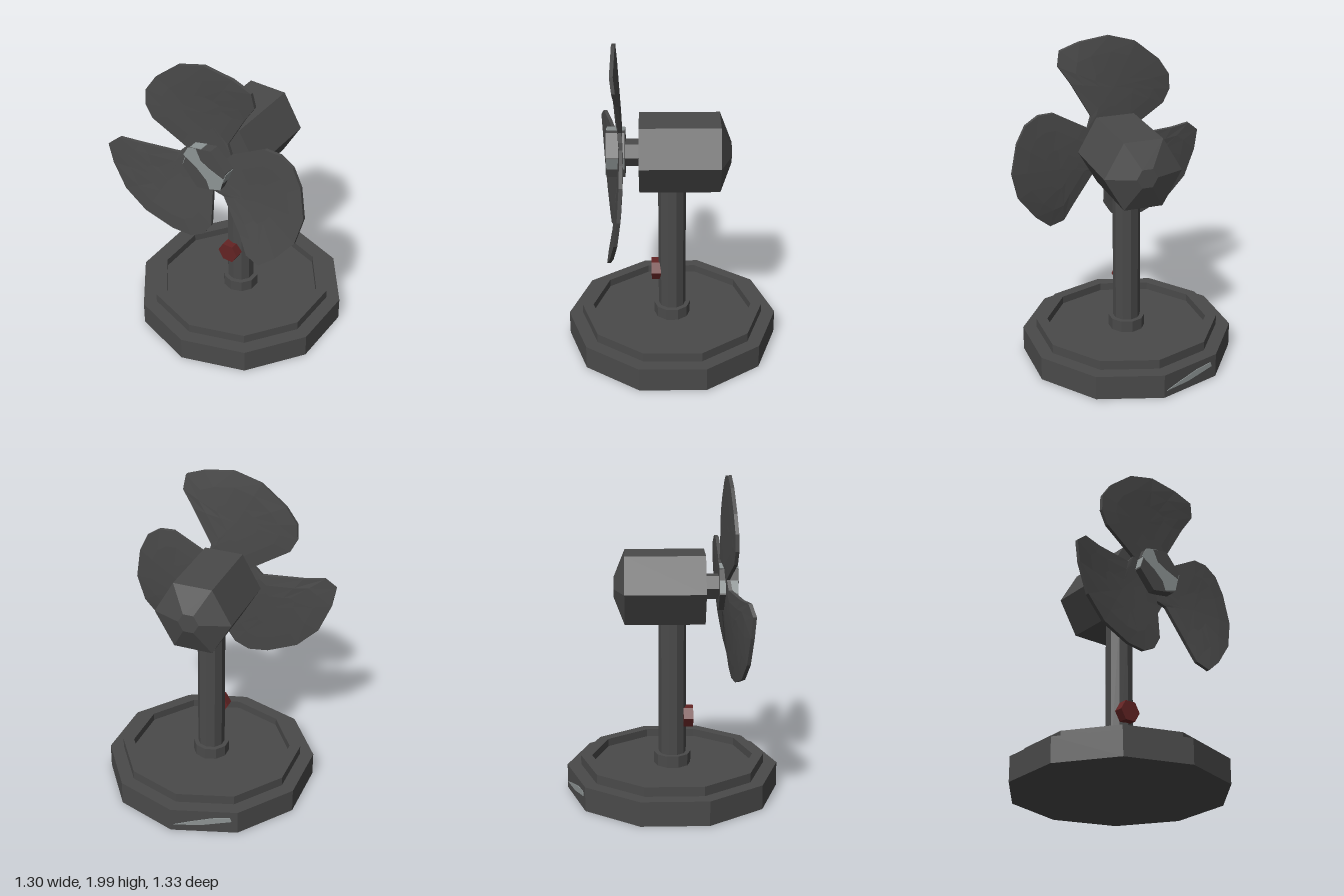
import * as THREE from 'three';

const mat = (name, color) => {
  const m = new THREE.MeshStandardMaterial({ color });
  m.name = name;
  return m;
};

export function createModel() {
  const dark = mat('charcoal', 0x4a4a4a);
  const red = mat('dark red', 0x642424);
  const light = mat('worn grey', 0x8e9595);
  const model = new THREE.Group();
  model.name = 'deskFan';
  const rad = THREE.MathUtils.degToRad;

  // faceted mesh helper
  const add = (name, geometry, material, parent = model) => {
    const g = geometry.index ? geometry.toNonIndexed() : geometry;
    g.computeVertexNormals();
    const mesh = new THREE.Mesh(g, material);
    mesh.name = name;
    parent.add(mesh);
    return mesh;
  };

  // six-sided prism along z; turn is the angle of its first corner
  const hexPrism = (rFront, rBack, z0, z1, x, y, turn = 0) =>
    new THREE.CylinderGeometry(rFront, rBack, z1 - z0, 6)
      .rotateX(Math.PI / 2)
      .rotateZ(rad(turn - 30))
      .translate(x, y, (z0 + z1) / 2);

  const cx = 0.01;

  // ten-sided stepped base with a recessed tray
  const profile = [[0, 0], [0.667, 0], [0.667, 0.155], [0.58, 0.155], [0.58, 0.215],
    [0.51, 0.215], [0.51, 0.165], [0, 0.165]].map(p => new THREE.Vector2(...p));
  add('base', new THREE.LatheGeometry(profile, 10).translate(cx, 0, 0), dark);

  // worn patch on the rear of the base
  const patchShape = new THREE.Shape([[-0.19, -0.03], [-0.02, -0.025], [0.17, 0.01],
    [0.16, 0.04], [0.05, 0.03], [-0.08, 0]].map(p => new THREE.Vector2(...p)));
  const patch = add('basePatch',
    new THREE.ExtrudeGeometry(patchShape, { depth: 0.004, bevelEnabled: false }), light);
  const a = rad(198), apothem = 0.667 * Math.cos(Math.PI / 10);
  patch.position.set(cx + Math.sin(a) * apothem, 0.075, Math.cos(a) * apothem);
  patch.rotation.y = a;

  // stand
  add('collar', new THREE.CylinderGeometry(0.115, 0.115, 0.085, 10).translate(cx, 0.1975, 0), dark);
  add('pole', new THREE.CylinderGeometry(0.086, 0.086, 0.96, 10).translate(cx, 0.66, 0), dark);
  add('knob', hexPrism(0.07, 0.07, 0.07, 0.13, -0.005, 0.48), red);

  // motor housing with tapered rear, and shaft
  add('motor', hexPrism(0.245, 0.245, -0.292, 0.2, cx, 1.31), dark);
  add('motorRear', hexPrism(0.245, 0.066, -0.36, -0.292, cx, 1.31), dark);
  add('shaft', hexPrism(0.083, 0.083, 0.2, 0.3, cx, 1.31), dark);

  // hub
  const hub = new THREE.Group();
  hub.name = 'hub';
  hub.position.set(0.018, 1.317, 0);
  model.add(hub);
  add('hubBody', hexPrism(0.157, 0.157, 0.283, 0.397, 0, 0, 11), dark, hub);

  // worn band across the hub face, with patches on its sides
  const band = new THREE.Shape([[-0.143, 0.053], [-0.11, 0.115], [-0.055, 0.128], [-0.02, 0.053],
    [0.042, 0.021], [0.14, -0.016], [0.118, -0.1], [0.04, -0.125], [0.02, -0.07], [-0.045, -0.01]]
    .map(p => new THREE.Vector2(...p)));
  add('hubBand', new THREE.ExtrudeGeometry(band, { depth: 0.003, bevelEnabled: false })
    .translate(0, 0, 0.397), light, hub);
  for (const deg of [101, 161, -19]) {
    add('hubPatch', new THREE.BoxGeometry(0.004, 0.08, 0.11)
      .translate(0.138, 0.03, 0.34).rotateZ(rad(deg)), light, hub);
  }

  // blades: concentric rings of one outline, front and back, joined by a rim
  const outline = [[0.05, 0.02], [0.14, 0.11], [0.118, 0.18], [0.24, 0.4], [0.312, 0.51],
    [0.295, 0.605], [0.17, 0.65], [-0.02, 0.674], [-0.196, 0.622], [-0.354, 0.492],
    [-0.425, 0.386], [-0.43, 0.285], [-0.385, 0.2], [-0.19, 0.085], [-0.05, 0]];
  const centre = [-0.04, 0.35], rings = [1, 0.7, 0.35, 0], n = outline.length;
  const surfaceZ = (x, y) => {
    const r2 = (x * x + y * y) / 0.43;
    const lead = (x * 0.87 - y * 0.5 + 0.42) / 0.42;
    return 0.318 + 0.042 * r2 + 0.032 * r2 * Math.min(1, lead);
  };
  const verts = [], index = [];
  for (const side of [1, -1]) {
    for (const s of rings) {
      for (const [px, py] of outline) {
        const x = centre[0] + (px - centre[0]) * s;
        const y = centre[1] + (py - centre[1]) * s;
        verts.push(x, y, surfaceZ(x, y) + side * (s === 1 ? 0.011 : 0.015));
      }
    }
  }
  const quad = (p, q, r, s) => index.push(p, q, r, p, r, s);
  const back = rings.length * n;
  for (let i = 0; i < n; i++) {
    const j = (i + 1) % n;
    for (let k = 0; k < rings.length - 1; k++) {
      const o = k * n, c = o + n;
      quad(o + i, o + j, c + j, c + i);
      quad(back + o + j, back + o + i, back + c + i, back + c + j);
    }
    quad(back + i, back + j, j, i);
  }
  const blade = new THREE.BufferGeometry();
  blade.setAttribute('position', new THREE.Float32BufferAttribute(verts, 3));
  blade.setIndex(index);

  // rotor leans slightly off the shaft axis
  const rotor = new THREE.Group();
  rotor.name = 'blades';
  rotor.position.set(0.018, 1.317, 0.34);
  rotor.rotation.set(-0.036, 0.08, 0);
  model.add(rotor);
  for (let i = 0; i < 3; i++) {
    add('blade', blade.clone().translate(0, 0, -0.34).rotateZ(i * Math.PI * 2 / 3), dark, rotor);
  }
  return model;
}
